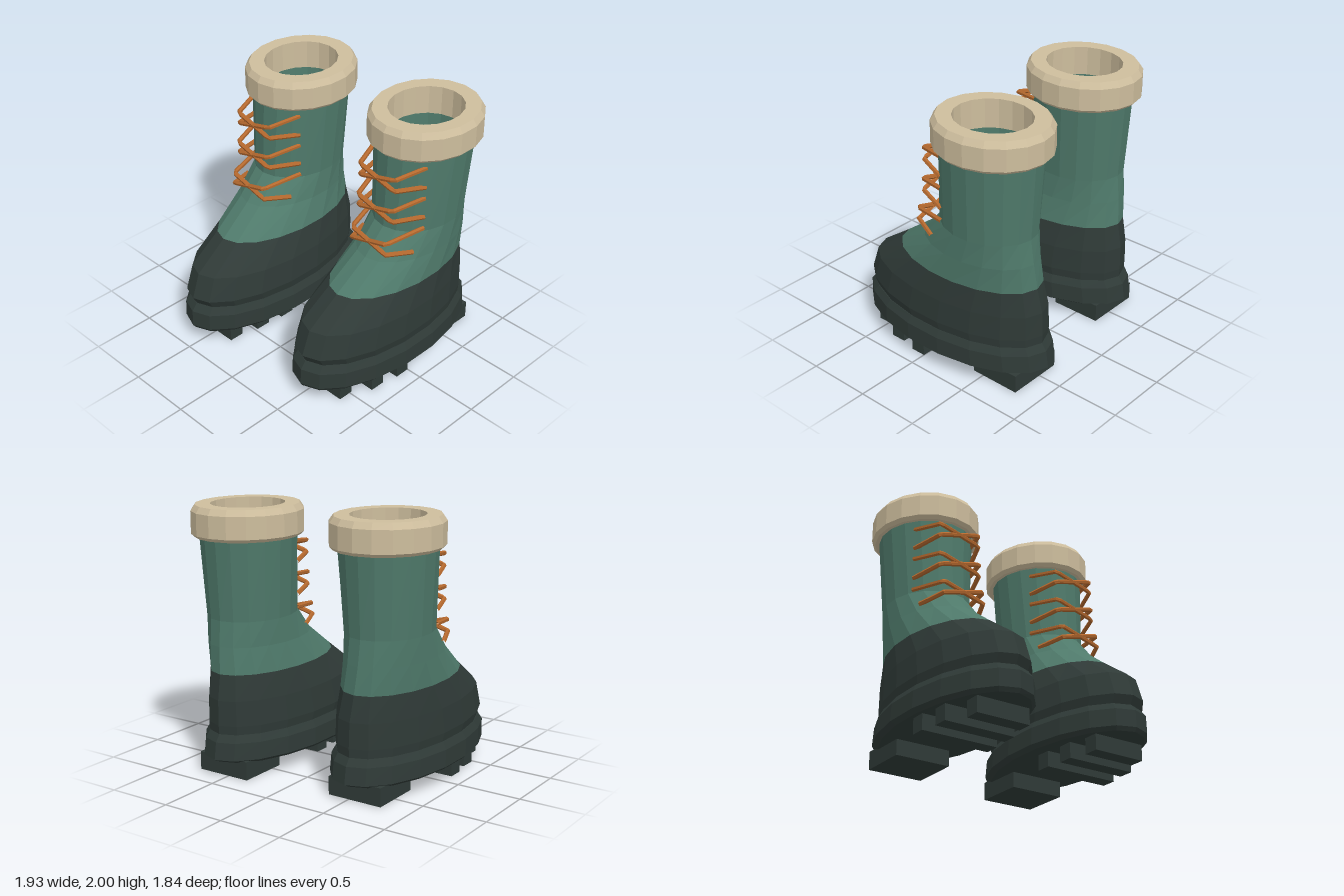
import * as THREE from 'three';

const SIDES = 18;
const mat = (color) => new THREE.MeshStandardMaterial({ color, flatShading: true });
const teal = mat(0x4f7a6b), dark = mat(0x2f3a37), cream = mat(0xcdbd9d), cord = mat(0xb5692e);

// Skin of elliptical rings; each row is [y, frontZ, backZ, halfWidth, centreX]
function loft(rows) {
  const pos = [], idx = [], n = SIDES + 1;
  for (const [y, front, back, half, cx = 0] of rows) {
    const zc = (front + back) / 2, rz = (front - back) / 2;
    for (let i = 0; i < n; i++) {
      const a = (i / SIDES) * Math.PI * 2;
      pos.push(cx + (half / 0.985) * Math.sin(a), y, zc + rz * Math.cos(a));
    }
  }
  for (let r = 0; r < rows.length - 1; r++) {
    for (let i = 0; i < SIDES; i++) {
      const a = r * n + i, b = a + n;
      idx.push(a, a + 1, b + 1, a, b + 1, b);
    }
  }
  const g = new THREE.BufferGeometry();
  g.setAttribute('position', new THREE.Float32BufferAttribute(pos, 3));
  g.setIndex(idx);
  g.computeVertexNormals();
  return g;
}

// Straight-segment cord through the given points
function cordGeometry(points) {
  const path = new THREE.CurvePath();
  for (let i = 0; i < points.length - 1; i++) path.add(new THREE.LineCurve3(points[i], points[i + 1]));
  const dense = [];
  for (const c of path.curves) dense.push(c.v1, c.getPoint(0.04), c.getPoint(0.96));
  dense.push(points[points.length - 1]);
  const curve = new THREE.CatmullRomCurve3(dense, false, 'centripetal');
  return new THREE.TubeGeometry(curve, 24, 0.018, 6, false);
}

// One boot; s is the side its leg leans toward
function makeBoot(s) {
  const boot = new THREE.Group();
  const add = (name, geometry, material, parent = boot) => {
    const m = new THREE.Mesh(geometry, material);
    m.name = name;
    parent.add(m);
    return m;
  };
  const lean = 0.035 * s;

  // Sole slab
  add('sole', loft([
    [0.12, 0, 0, 0],
    [0.12, 0.84, -0.80, 0.37],
    [0.15, 0.86, -0.86, 0.403],
    [0.28, 0.855, -0.84, 0.40],
    [0.335, 0.81, -0.80, 0.37],
    [0.335, 0, 0, 0],
  ]), dark);

  // Treads and heel: [z, depth, width, x]
  [[0.60, 0.12, 0.42, 0], [0.36, 0.12, 0.56, 0.026], [0.12, 0.12, 0.61, 0.032], [-0.55, 0.40, 0.44, 0.01]]
    .forEach(([z, d, w, x], i) => {
      add(i < 3 ? 'tread' : 'heel', new THREE.BoxGeometry(w, 0.14, d), dark).position.set(x * s, 0.07, z);
    });

  // Foot guard
  const cuff = [0.78, 0.50, -0.76, 0.328, 0.012 * s];
  add('footGuard', loft([
    [0.33, 0.80, -0.80, 0.365],
    [0.40, 0.84, -0.805, 0.377],
    [0.59, 0.77, -0.80, 0.365, 0.003 * s],
    cuff,
  ]), dark);

  // Leg
  add('leg', loft([
    cuff,
    [0.98, 0.23, -0.74, 0.307, 0.03 * s],
    [1.17, 0.05, -0.717, 0.302, lean],
    [1.79, 0.02, -0.754, 0.345, lean],
  ]), teal);

  // Lining and insole
  add('lining', loft([
    [1.78, -0.075, -0.665, 0.26, lean],
    [1.0, -0.10, -0.62, 0.20, lean * 0.8],
    [1.0, -0.36, -0.36, 0, lean * 0.8],
  ]), teal);

  // Padded collar
  const inner = [1.765, -0.075, -0.665, 0.26, lean];
  add('collar', loft([
    inner,
    [1.765, 0.05, -0.795, 0.37, lean],
    [1.79, 0.075, -0.82, 0.394, lean],
    [1.955, 0.075, -0.82, 0.394, lean],
    [2.0, 0.045, -0.79, 0.363, lean],
    [2.0, -0.075, -0.665, 0.26, lean],
    inner,
  ]), cream);

  // Three crossed pairs of laces: [top y, front z, lower end z]
  const laces = new THREE.Group();
  laces.name = 'laces';
  laces.position.x = lean;
  boot.add(laces);
  for (const [y, z, low] of [[1.70, 0.13, -0.11], [1.45, 0.145, -0.11], [1.195, 0.2, -0.005]]) {
    for (const k of [1, -1]) {
      add('lace', cordGeometry([
        new THREE.Vector3(0.245 * k, y, -0.11),
        new THREE.Vector3(0.165 * k, y - 0.035, z),
        new THREE.Vector3(-0.165 * k, y - 0.125, z),
        new THREE.Vector3(-0.245 * k, y - 0.16, low),
      ]), cord, laces);
    }
  }
  return boot;
}

export function createModel() {
  const model = new THREE.Group();
  model.name = 'boots';
  for (const s of [1, -1]) {
    const boot = makeBoot(s);
    boot.name = s > 0 ? 'leftBoot' : 'rightBoot';
    boot.position.set(0.538 * s, 0, -0.06 * s);
    model.add(boot);
  }
  return model;
}
